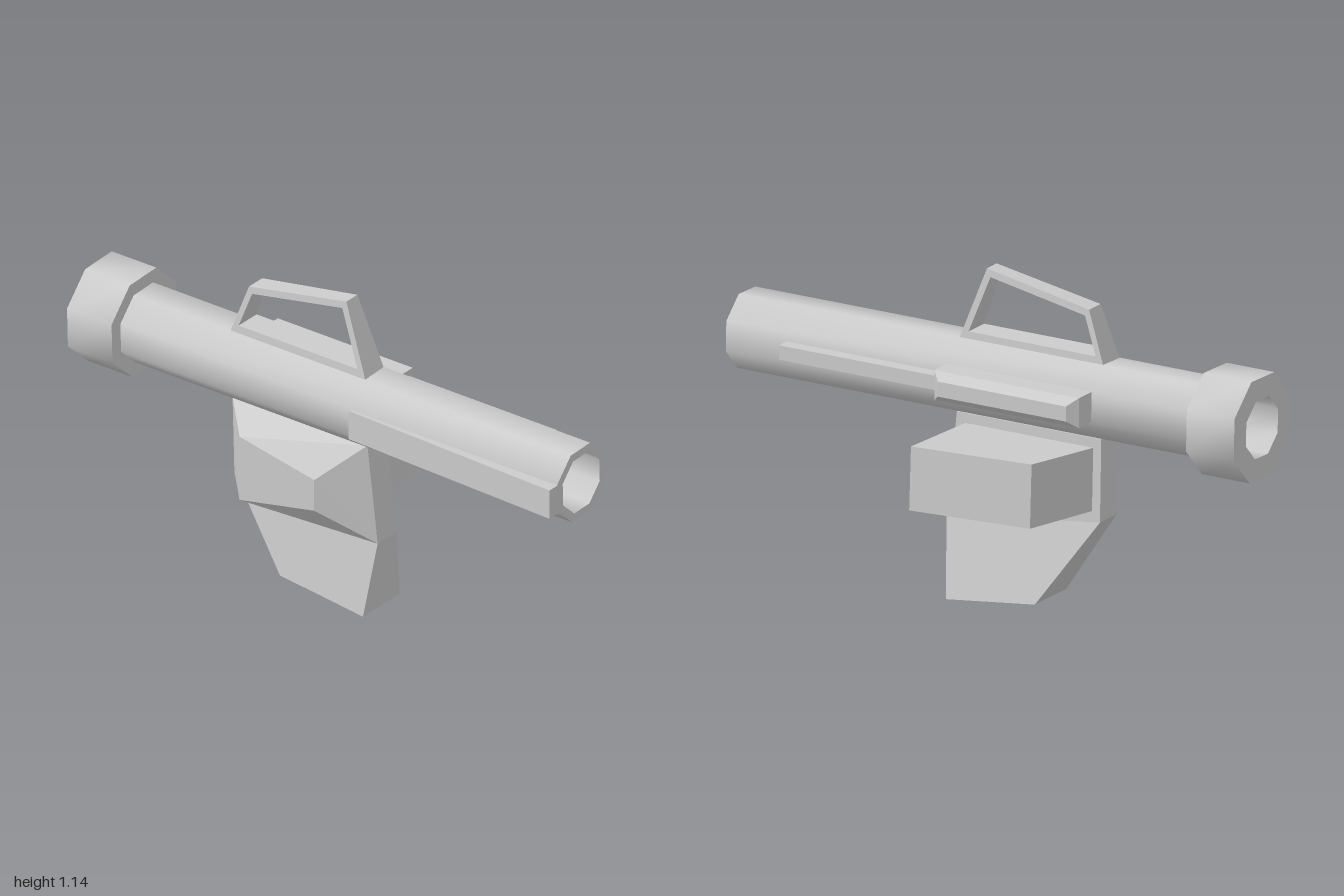
import * as THREE from 'three';
import { toCreasedNormals } from 'three/addons/utils/BufferGeometryUtils.js';
import { ConvexGeometry } from 'three/addons/geometries/ConvexGeometry.js';

const AXIS_X = -0.125, AXIS_Y = 0.762;

export function createModel() {
  const model = new THREE.Group();
  const material = new THREE.MeshStandardMaterial({ color: 0xcccccc });

  function add(name, geometry) {
    const mesh = new THREE.Mesh(geometry, material);
    mesh.name = name;
    model.add(mesh);
    return mesh;
  }

  // Flat-faced convex solid from its corner points
  const solid = (name, corners) =>
    add(name, new ConvexGeometry(corners.map((c) => new THREE.Vector3(...c))));

  function box(name, x0, x1, y0, y1, z0, z1) {
    add(name, new THREE.BoxGeometry(x1 - x0, y1 - y0, z1 - z0))
      .position.set((x0 + x1) / 2, (y0 + y1) / 2, (z0 + z1) / 2);
  }

  // Eight corners with a flat on top, given the distance to the flats
  function octagon(apothem) {
    const r = apothem / Math.cos(Math.PI / 8);
    return Array.from({ length: 8 }, (_, i) => {
      const a = (i + 0.5) * Math.PI / 4 + 0.035;
      return new THREE.Vector2(Math.cos(a) * r, Math.sin(a) * r);
    });
  }

  // Hollow octagonal pipe along z, smooth around and sharp at the rims
  function pipe(name, outer, inner, z0, z1) {
    const shape = new THREE.Shape(octagon(outer));
    shape.holes.push(new THREE.Path(octagon(inner)));
    const geo = new THREE.ExtrudeGeometry(shape, { depth: z1 - z0, bevelEnabled: false });
    add(name, toCreasedNormals(geo, 0.9)).position.set(AXIS_X, AXIS_Y, z0);
  }

  pipe('barrel', 0.127, 0.099, -0.99, 1);
  pipe('rearCollar', 0.174, 0.099, -1, -0.815);

  // Carrying handle: side outline with an opening, narrowing towards the top
  const points = (list) => list.map(([z, y]) => new THREE.Vector2(z, y));
  const frame = new THREE.Shape(points([[0.145, 0.885], [0.05, 1.14], [-0.35, 1.067], [-0.415, 0.885]]));
  frame.holes.push(new THREE.Path(points([[0.11, 0.915], [0.035, 1.112], [-0.335, 1.045], [-0.383, 0.915]])));
  const handle = new THREE.ExtrudeGeometry(frame, { depth: 2, bevelEnabled: false });
  handle.translate(0, 0, -1).rotateY(-Math.PI / 2);
  const pos = handle.attributes.position;
  for (let i = 0; i < pos.count; i++) {
    const halfWidth = THREE.MathUtils.mapLinear(pos.getY(i), 0.885, 1.14, 0.051, 0.03);
    pos.setX(i, pos.getX(i) * halfWidth - 0.128);
  }
  handle.computeVertexNormals();
  add('carryHandle', handle);

  // Grip: straight upper block, lower block flaring to the base
  const across = (x0, x1, y, z) => [[x0, y, z], [x1, y, z]];
  const bend = [...across(-0.158, -0.055, 0.275, 0.18), ...across(-0.158, -0.055, 0.35, -0.415)];
  solid('gripUpper', [
    ...across(-0.168, -0.063, 0.637, 0.145), ...across(-0.168, -0.063, 0.637, -0.415), ...bend,
  ]);
  solid('gripLower', [
    ...bend, ...across(-0.192, 0.006, 0.004, 0.145), ...across(-0.192, 0.006, 0.045, -0.2),
  ]);

  // Tapered pod on the right side of the grip
  solid('sidePod', [
    [-0.168, 0.635, 0.145], [-0.158, 0.275, 0.18], [-0.158, 0.35, -0.415], [-0.168, 0.635, -0.415],
    [-0.28, 0.51, 0.01], [-0.28, 0.395, 0.01], [-0.28, 0.333, -0.3], [-0.28, 0.57, -0.3],
  ]);

  // Skewed box on the left side of the grip
  solid('sideBox', [
    [-0.07, 0.602, 0.112], [-0.07, 0.384, 0.112], [-0.07, 0.602, -0.386], [-0.07, 0.384, -0.386],
    [0.285, 0.619, 0.107], [0.296, 0.4, 0.107], [0.232, 0.617, -0.328], [0.242, 0.397, -0.328],
  ]);

  // Sight with a chamfered outer face, and the thin rod in front of it
  const sightCorners = [];
  for (const [x, dy, z0, z1] of [[-0.01, 0.052, -0.417, 0.143], [0.08, 0.052, -0.417, 0.143], [0.11, 0.026, -0.385, 0.112]])
    for (const y of [0.768 - dy, 0.768 + dy]) sightCorners.push([x, y, z0], [x, y, z1]);
  solid('sight', sightCorners);
  box('sightRod', 0.017, 0.065, 0.745, 0.795, 0.14, 0.755);

  // Rail along the right side, thicker at the muzzle
  const railCorners = [];
  for (const y of [0.7, 0.806])
    railCorners.push([-0.297, y, 1], [-0.24, y, 1], [-0.264, y, 0.14], [-0.24, y, 0.14]);
  solid('sideRail', railCorners);

  return model;
}
